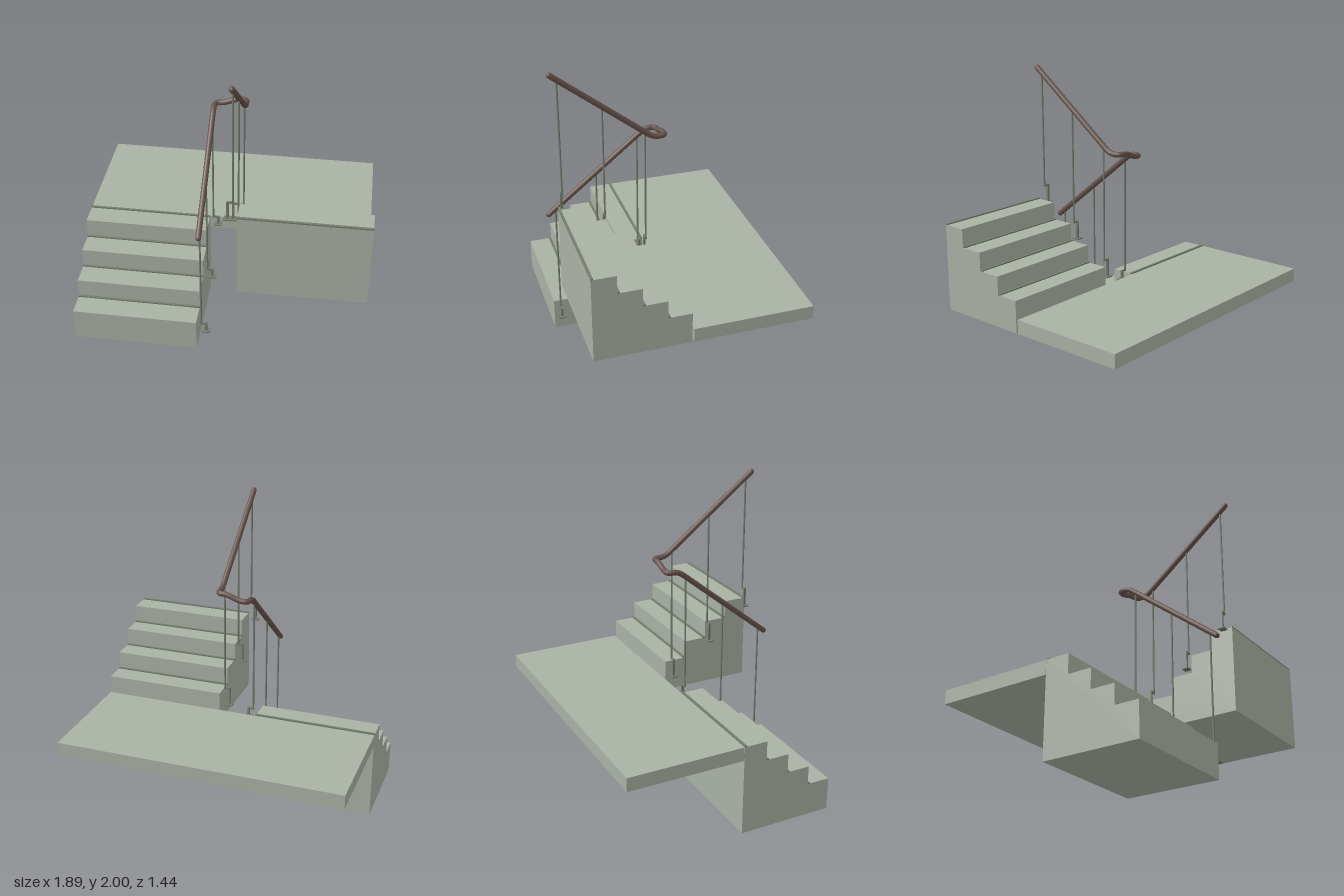
import * as THREE from 'three';

const stone = new THREE.MeshStandardMaterial({ color: 0xa9b1a4 });
stone.name = 'paleStone';
const metal = new THREE.MeshStandardMaterial({ color: 0x747d6d });
metal.name = 'greyMetal';
const wood = new THREE.MeshStandardMaterial({ color: 0x66534c });
wood.name = 'brownRail';

function add(parent, name, geometry, material, x = 0, y = 0, z = 0) {
  const mesh = new THREE.Mesh(geometry, material);
  mesh.name = name;
  mesh.position.set(x, y, z);
  parent.add(mesh);
  return mesh;
}

// Box given by its minimum and maximum corners
function addBox(parent, name, material, a, b) {
  const size = a.map((v, i) => b[i] - v);
  const mid = a.map((v, i) => (b[i] + v) / 2);
  return add(parent, name, new THREE.BoxGeometry(...size), material, ...mid);
}

// Solid flight of steps: starts at z0 and climbs along z by "run" per step
function makeFlight(name, { x0, x1, base, z0, run, firstTop, rise, steps }) {
  const flight = new THREE.Group();
  flight.name = name;
  const shape = new THREE.Shape();
  shape.moveTo(z0, base);
  for (let i = 0; i < steps; i++) {
    const top = firstTop + i * rise;
    shape.lineTo(z0 + i * run, top);
    shape.lineTo(z0 + (i + 1) * run, top);
  }
  shape.lineTo(z0 + steps * run, base);
  const body = new THREE.ExtrudeGeometry(shape, { depth: x1 - x0, bevelEnabled: false });
  body.rotateY(-Math.PI / 2);
  add(flight, 'stepBody', body, stone, x1);

  // Narrow strip at the back of each tread
  for (let i = 0; i < steps; i++) {
    const top = firstTop + i * rise;
    const end = z0 + (i + 1) * run;
    const inner = end - Math.sign(run) * 0.016;
    addBox(flight, 'treadStrip', metal,
      [x0, top - 0.001, Math.min(end, inner)], [x1, top + 0.008, Math.max(end, inner)]);
  }
  return flight;
}

// Polyline with rounded corners
function roundedPath(points, radius) {
  const path = new THREE.CurvePath();
  let from = points[0];
  for (let i = 1; i < points.length - 1; i++) {
    const p = points[i];
    const toward = (q) => p.clone().add(q.clone().sub(p).setLength(Math.min(radius, q.distanceTo(p) * 0.48)));
    const a = toward(points[i - 1]);
    const b = toward(points[i + 1]);
    path.add(new THREE.LineCurve3(from, a));
    path.add(new THREE.QuadraticBezierCurve3(a, p, b));
    from = b;
  }
  path.add(new THREE.LineCurve3(from, points[points.length - 1]));
  return path;
}

// Upright with an offset foot and a small base plate
function makeBaluster(side, z, railY, bendY, plateY) {
  const group = new THREE.Group();
  group.name = 'baluster';
  const x = side * 0.102;
  const footX = side * 0.07;
  add(group, 'post', new THREE.CylinderGeometry(0.006, 0.006, railY - bendY, 10), metal, x, (railY + bendY) / 2, z);
  addBox(group, 'offsetArm', metal,
    [Math.min(x, footX) - 0.006, bendY - 0.006, z - 0.006], [Math.max(x, footX) + 0.006, bendY + 0.006, z + 0.006]);
  addBox(group, 'foot', metal,
    [footX - 0.007, plateY, z - 0.007], [footX + 0.007, bendY, z + 0.007]);
  addBox(group, 'basePlate', metal,
    [footX - 0.024, plateY - 0.004, z - 0.022], [footX + 0.024, plateY + 0.004, z + 0.022]);
  return group;
}

export function createModel() {
  const model = new THREE.Group();
  model.name = 'staircase';

  // Landing and the two flights
  addBox(model, 'landing', stone, [-0.945, 0.518, -0.717], [0.945, 0.61, 0.061]);
  model.add(makeFlight('lowerFlight', {
    x0: -0.945, x1: -0.13, base: 0, z0: 0.697, run: -0.1585, firstTop: 0.222, rise: 0.1295, steps: 4,
  }));
  model.add(makeFlight('upperFlight', {
    x0: 0.13, x1: 0.945, base: 0.518, z0: 0.074, run: 0.153, firstTop: 0.728, rise: 0.12, steps: 4,
  }));

  // Handrail turning above the landing
  const v = (x, y, z) => new THREE.Vector3(x, y, z);
  const lowEnd = v(-0.102, 0.93, 0.702);
  const highEnd = v(0.102, 1.982, 0.69);
  const path = roundedPath([
    lowEnd, v(-0.102, 1.455, 0.05), v(-0.102, 1.455, -0.025),
    v(-0.045, 1.457, -0.025), v(0.04, 1.492, -0.025),
    v(0.102, 1.492, -0.025), v(0.102, 1.492, 0.055), highEnd,
  ], 0.045);
  const rail = new THREE.Group();
  rail.name = 'handrail';
  model.add(rail);
  add(rail, 'railTube', new THREE.TubeGeometry(path, 180, 0.018, 14, false), wood);
  for (const end of [lowEnd, highEnd]) {
    add(rail, 'railEnd', new THREE.SphereGeometry(0.018, 14, 10), wood, end.x, end.y, end.z);
  }

  // Three balusters beside each flight
  for (let i = 0; i < 3; i++) {
    const zLow = 0.656 - i * 0.277;
    model.add(makeBaluster(-1, zLow, 0.93 + (0.702 - zLow) * 0.805, 0.188 + i * 0.226, 0.13 + i * 0.226));
    const zHigh = 0.107 + i * 0.271;
    model.add(makeBaluster(1, zHigh, 1.492 + (zHigh - 0.055) * 0.772, 0.76 + i * 0.21, 0.64 + i * 0.21));
  }
  return model;
}
